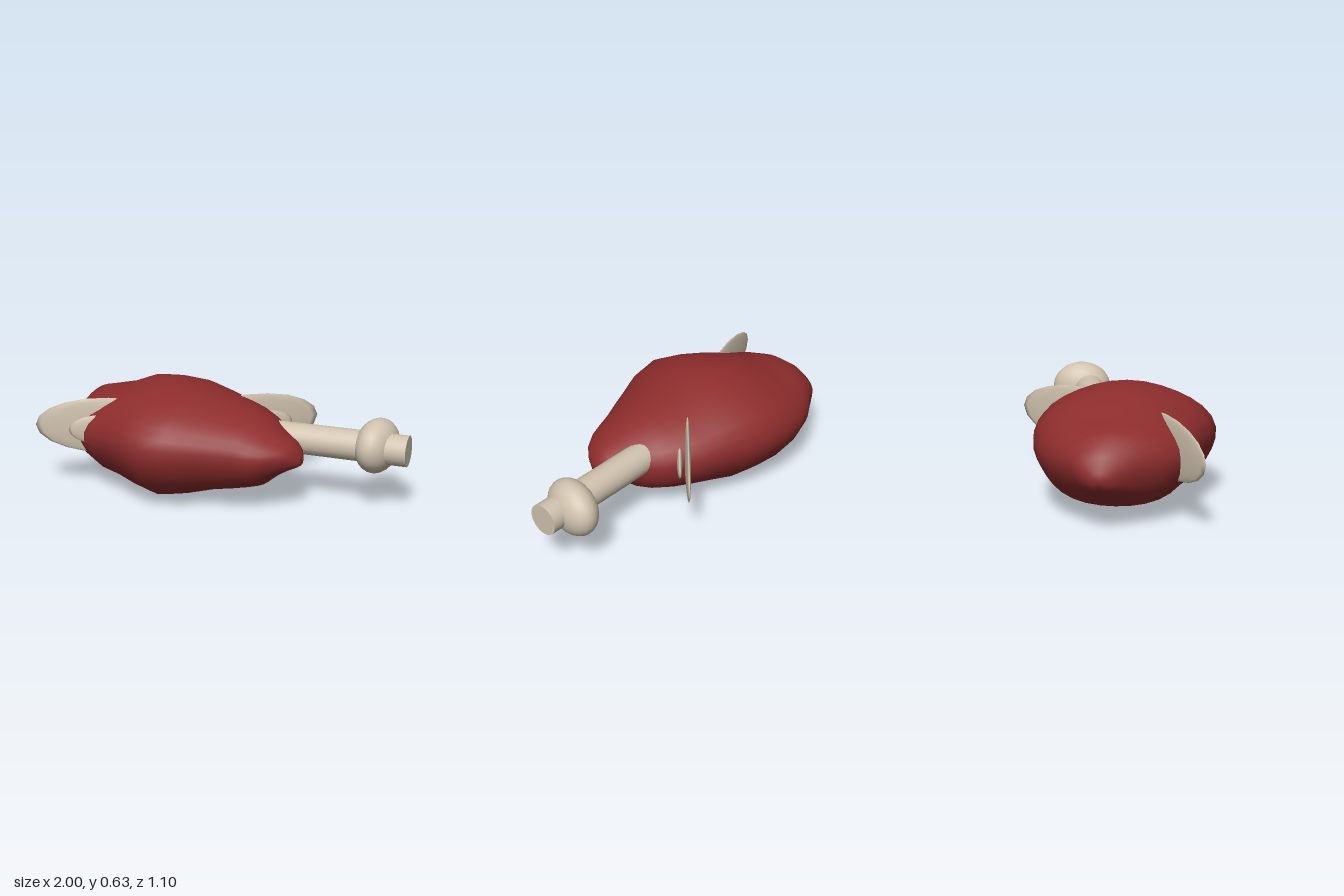
import * as THREE from 'three';

// Loft of closed oval sections along x: [x, zMin, zMax, yMin, yMax]
function loft(stations, sides) {
  const pos = [], index = [], n = stations.length;
  for (const [x, z0, z1, y0, y1] of stations) {
    for (let j = 0; j < sides; j++) {
      const a = (j / sides) * Math.PI * 2;
      // gentle ridge above the waist and crease below it
      const r = 1 + 0.03 * Math.sin(4 * a) * Math.cos(a);
      pos.push(x,
        (y0 + y1) / 2 + Math.sin(a) * r * (y1 - y0) / 2,
        (z0 + z1) / 2 + Math.cos(a) * r * (z1 - z0) / 2);
    }
  }
  const pole = ([x, z0, z1, y0, y1], dx) => pos.push(x + dx, (y0 + y1) / 2, (z0 + z1) / 2);
  pole(stations[0], -0.006);
  pole(stations[n - 1], 0.006);
  const first = n * sides, last = first + 1, end = (n - 1) * sides;
  for (let j = 0; j < sides; j++) {
    const k = (j + 1) % sides;
    for (let i = 0; i < n - 1; i++) {
      const a = i * sides, b = a + sides;
      index.push(a + j, b + j, b + k, a + j, b + k, a + k);
    }
    index.push(first, j, k, end + j, last, end + k);
  }
  const g = new THREE.BufferGeometry();
  g.setAttribute('position', new THREE.Float32BufferAttribute(pos, 3));
  g.setIndex(index);
  g.computeVertexNormals();
  return g;
}

export function createModel() {
  const group = new THREE.Group();
  const meat = new THREE.MeshStandardMaterial({ color: 0x8e2d2d });
  meat.name = 'meat red';
  const bone = new THREE.MeshStandardMaterial({ color: 0xd0c2ae });
  bone.name = 'bone cream';

  const add = (name, geometry, material) => {
    const mesh = new THREE.Mesh(geometry, material);
    mesh.name = name;
    group.add(mesh);
    return mesh;
  };

  // Lumpy joint of meat
  add('meat', loft([
    [-0.994, -0.08, 0.01, 0.25, 0.33],
    [-0.96, -0.14, 0.09, 0.22, 0.40],
    [-0.92, -0.18, 0.16, 0.19, 0.45],
    [-0.85, -0.24, 0.28, 0.14, 0.50],
    [-0.77, -0.31, 0.37, 0.10, 0.52],
    [-0.65, -0.37, 0.42, 0.05, 0.55],
    [-0.52, -0.41, 0.45, 0.025, 0.605],
    [-0.38, -0.42, 0.51, 0.01, 0.625],
    [-0.25, -0.41, 0.545, 0.00, 0.63],
    [-0.12, -0.38, 0.505, 0.03, 0.60],
    [0.02, -0.35, 0.42, 0.068, 0.555],
    [0.12, -0.31, 0.36, 0.085, 0.53],
    [0.21, -0.26, 0.305, 0.105, 0.50],
    [0.28, -0.20, 0.275, 0.13, 0.465],
    [0.35, -0.14, 0.235, 0.19, 0.425],
    [0.42, -0.075, 0.17, 0.235, 0.39],
    [0.455, -0.04, 0.115, 0.25, 0.36],
    [0.474, -0.01, 0.06, 0.26, 0.31],
  ], 32), meat);

  // Bone shaft running out of the meat
  const from = new THREE.Vector3(0.12, 0.353, -0.085);
  const to = new THREE.Vector3(0.98, 0.353, -0.254);
  const axis = to.clone().sub(from);
  const shaft = add('boneShaft', new THREE.CylinderGeometry(0.086, 0.086, axis.length(), 24), bone);
  shaft.position.copy(from).lerp(to, 0.5);
  shaft.quaternion.setFromUnitVectors(new THREE.Vector3(0, 1, 0), axis.normalize());

  // Knuckle
  const knob = add('boneKnuckle', new THREE.SphereGeometry(1, 24, 16), bone);
  knob.scale.set(0.11, 0.15, 0.175);
  knob.position.set(0.797, 0.353, -0.253);

  // Thin slivers of fat: centre, outward direction (x, z) and half sizes
  const flake = (name, [x, y, z], [dx, dz], [length, height, thick]) => {
    const mesh = add(name, new THREE.SphereGeometry(1, 16, 10), bone);
    mesh.position.set(x, y, z);
    mesh.scale.set(length, height, thick);
    mesh.rotation.y = Math.atan2(-dz, dx);
  };
  flake('backFat', [0, 0.355, -0.18], [0.27, -0.37], [0.46, 0.175, 0.018]);
  flake('backFatSmall', [0.07, 0.355, -0.20], [0.27, -0.37], [0.22, 0.085, 0.018]);
  flake('frontFat', [-0.61, 0.37, 0.28], [-0.37, 0.2], [0.42, 0.165, 0.018]);
  flake('frontFatSmall', [-0.60, 0.36, 0.33], [-0.37, 0.2], [0.21, 0.09, 0.018]);

  return group;
}
